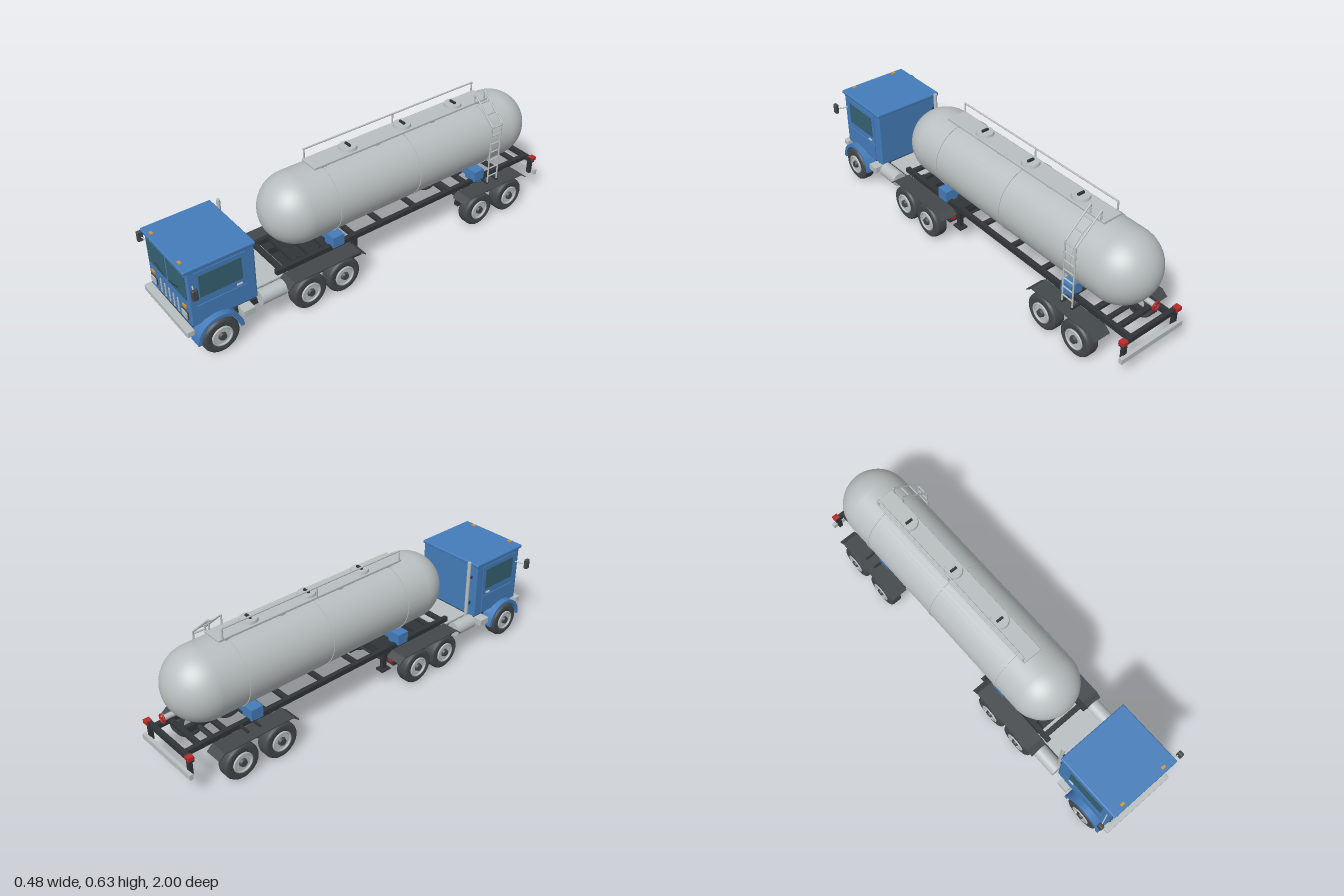
import * as THREE from 'three';
import { RoundedBoxGeometry } from 'three/addons/geometries/RoundedBoxGeometry.js';

const mat = (name, color) => {
  const m = new THREE.MeshStandardMaterial({ color });
  m.name = name;
  return m;
};

export function createModel() {
  const blue = mat('cab blue', 0x447cba), steel = mat('steel', 0xb9bfc0), frame = mat('frame dark', 0x303437);
  const rubber = mat('rubber', 0x43484b), glass = mat('glass', 0x356172), amber = mat('amber', 0xd8922a);
  const red = mat('red', 0xb82a28);
  const model = new THREE.Group();

  const add = (name, geo, m, x = 0, y = 0, z = 0, parent = model) => {
    const mesh = new THREE.Mesh(geo, m);
    mesh.name = name;
    mesh.position.set(x, y, z);
    parent.add(mesh);
    return mesh;
  };
  // Box given by its extents along each axis
  const box = (name, m, [x0, x1], [y0, y1], [z0, z1], r = 0) => {
    const s = [x1 - x0, y1 - y0, z1 - z0];
    const geo = r ? new RoundedBoxGeometry(...s, 2, r) : new THREE.BoxGeometry(...s);
    return add(name, geo, m, (x0 + x1) / 2, (y0 + y1) / 2, (z0 + z1) / 2);
  };
  // The same box on both sides of the vehicle
  const pair = (name, m, [x0, x1], y, z, r) => {
    box(name, m, [x0, x1], y, z, r);
    box(name, m, [-x1, -x0], y, z, r);
  };
  // Round bar between two points
  const bar = (name, m, a, b, r = 0.004, seg = 10) => {
    const p = new THREE.Vector3(...a), q = new THREE.Vector3(...b);
    const mesh = add(name, new THREE.CylinderGeometry(r, r, p.distanceTo(q), seg), m);
    mesh.position.copy(p).lerp(q, 0.5);
    mesh.quaternion.setFromUnitVectors(new THREE.Vector3(0, 1, 0), q.sub(p).normalize());
    return mesh;
  };

  // Tank with rounded ends and hoops
  const tankY = 0.393;
  add('tank', new THREE.CapsuleGeometry(0.165, 1.15, 20, 48), steel, 0, tankY, -0.227).rotation.x = Math.PI / 2;
  for (const z of [0.213, -0.23, -0.672])
    add('tankBand', new THREE.CylinderGeometry(0.168, 0.168, 0.01, 48), steel, 0, tankY, z).rotation.x = Math.PI / 2;

  // Walkway, its supports and the hatches
  box('walkway', steel, [-0.048, 0.048], [0.566, 0.578], [-0.73, 0.27], 0.003);
  for (const z of [0.21, -0.08, -0.4, -0.68]) pair('walkwaySupport', steel, [0.015, 0.037], [0.545, 0.567], [z - 0.012, z + 0.012]);
  for (const z of [0.06, -0.245, -0.55]) {
    add('hatch', new THREE.CylinderGeometry(0.039, 0.042, 0.012, 28), steel, 0, 0.584, z);
    box('hatchHandle', frame, [-0.017, 0.017], [0.59, 0.599], [z - 0.005, z + 0.005]);
  }

  // Handrail on one side of the walkway
  bar('handrail', steel, [-0.045, 0.624, 0.26], [-0.045, 0.624, -0.71]);
  for (const z of [0.26, -0.225, -0.71]) bar('handrailPost', steel, [-0.045, 0.57, z], [-0.045, 0.626, z]);

  // Ladder: rails follow the tank outward, then drop to the frame
  for (const z of [-0.65, -0.71]) {
    const pts = [[0.045, 0.57, z], [0.045, 0.622, z], [0.173, 0.505, z], [0.173, 0.19, z]];
    for (let i = 0; i < 3; i++) bar('ladderRail', steel, pts[i], pts[i + 1]);
    pair('ladderBracket', frame, [0.11, 0.178], [0.185, 0.193], [z - 0.005, z + 0.005]);
  }
  for (let i = 0; i < 7; i++) bar('ladderRung', steel, [0.173, 0.225 + i * 0.045, -0.65], [0.173, 0.225 + i * 0.045, -0.71], 0.0035);
  for (const t of [0.3, 0.65]) bar('ladderRung', steel, [0.045 + 0.128 * t, 0.622 - 0.117 * t, -0.65], [0.045 + 0.128 * t, 0.622 - 0.117 * t, -0.71], 0.0035);

  // Rear valve with handwheel
  bar('valvePipe', steel, [0, 0.302, -0.92], [0, 0.302, -0.985], 0.012, 18);
  add('valveWheel', new THREE.TorusGeometry(0.019, 0.004, 8, 24), red, 0, 0.302, -0.991);
  for (const a of [0, Math.PI / 2]) {
    const c = 0.019 * Math.cos(a), s = 0.019 * Math.sin(a);
    bar('valveSpoke', red, [-c, 0.302 - s, -0.991], [c, 0.302 + s, -0.991], 0.0025);
  }

  // Trailer frame, saddles and landing legs
  pair('trailerRail', frame, [0.1, 0.122], [0.174, 0.197], [-0.975, 0.53]);
  for (const z of [0.5, 0.42, 0.34, 0.26, 0.11, -0.05, -0.25, -0.45, -0.57, -0.77, -0.9])
    box('trailerCrossMember', frame, [-0.11, 0.11], [0.177, 0.192], [z - 0.012, z + 0.012]);
  for (const z of [0.213, -0.63]) {
    pair('saddle', blue, [0.07, 0.135], [0.19, 0.245], [z - 0.03, z + 0.03]);
    box('saddleBeam', blue, [-0.08, 0.08], [0.195, 0.235], [z - 0.02, z + 0.02]);
  }
  pair('landingLeg', frame, [0.1, 0.122], [0.09, 0.18], [0.1, 0.122]);
  pair('landingFoot', frame, [0.09, 0.132], [0.08, 0.09], [0.085, 0.137]);
  bar('landingBrace', frame, [-0.11, 0.13, 0.111], [0.11, 0.13, 0.111], 0.006);

  // Trailer tail
  box('tailBeam', frame, [-0.165, 0.165], [0.172, 0.196], [-0.985, -0.965]);
  pair('tailPost', frame, [0.135, 0.155], [0.105, 0.19], [-0.985, -0.968]);
  box('rearBumper', steel, [-0.176, 0.176], [0.1, 0.125], [-1, -0.983]);
  pair('tailLight', red, [0.14, 0.168], [0.183, 0.201], [-0.993, -0.965]);

  // Wheels
  const tireProfile = [[0.045, -0.031], [0.074, -0.031], [0.082, -0.026], [0.085, -0.018], [0.085, 0.018], [0.082, 0.026], [0.074, 0.031], [0.051, 0.031], [0.045, 0.022]];
  const tire = new THREE.LatheGeometry(tireProfile.map(p => new THREE.Vector2(...p)), 40);
  const rim = new THREE.CylinderGeometry(0.046, 0.046, 0.056, 32);
  const ring = new THREE.TorusGeometry(0.044, 0.005, 8, 32);
  const hub = new THREE.CylinderGeometry(0.016, 0.02, 0.014, 20);
  for (const z of [0.86, 0.42, 0.24, -0.57, -0.77]) {
    for (const s of [1, -1]) {
      const wheel = new THREE.Group();
      wheel.name = 'wheel';
      add('tire', tire, rubber, 0, 0, 0, wheel);
      add('rim', rim, steel, 0, 0, 0, wheel);
      add('rimRing', ring, steel, 0, 0.031, 0, wheel).rotation.x = Math.PI / 2;
      add('hub', hub, rubber, 0, 0.033, 0, wheel);
      wheel.position.set(s * 0.182, 0.085, z);
      wheel.rotation.z = -s * Math.PI / 2;
      model.add(wheel);
    }
    bar('axle', frame, [-0.16, 0.085, z], [0.16, 0.085, z], 0.012, 16);
    pair('spring', frame, [0.1, 0.124], [0.08, 0.108], [z - 0.06, z + 0.06]);
    if (z < 0) pair('springHanger', frame, [0.102, 0.122], [0.1, 0.18], [z - 0.02, z + 0.02]);
  }

  // Flat mudguards with turned-down ends over the twin axles
  for (const zc of [0.325, -0.677]) {
    pair('mudguard', rubber, [0.125, 0.211], [0.171, 0.176], [zc - 0.175, zc + 0.175]);
    for (const s of [1, -1]) for (const e of [1, -1])
      add('mudguardEnd', new THREE.BoxGeometry(0.086, 0.005, 0.04), rubber, s * 0.168, 0.162, zc + e * 0.188).rotation.x = e * 0.7;
  }

  // Tractor chassis, deck and fifth wheel
  box('chassisFloor', frame, [-0.15, 0.15], [0.105, 0.132], [0.14, 0.965]);
  pair('chassisRail', frame, [0.06, 0.085], [0.13, 0.165], [0.14, 0.95]);
  box('deck', steel, [-0.125, 0.125], [0.158, 0.166], [0.47, 0.66]);
  add('fifthWheel', new THREE.CylinderGeometry(0.09, 0.09, 0.014, 32), frame, 0, 0.169, 0.33);
  pair('tractorTailLight', red, [0.12, 0.145], [0.125, 0.145], [0.13, 0.142]);
  for (const s of [1, -1]) bar('fuelTank', steel, [s * 0.163, 0.145, 0.53], [s * 0.163, 0.145, 0.65], 0.035, 28);

  // Cab shell and roof
  box('cab', blue, [-0.176, 0.176], [0.165, 0.445], [0.66, 0.968], 0.008);
  box('roof', blue, [-0.181, 0.181], [0.44, 0.457], [0.655, 0.982], 0.006);
  box('frontBumper', steel, [-0.187, 0.187], [0.132, 0.162], [0.965, 1], 0.004);
  pair('doorPanel', blue, [0.176, 0.18], [0.185, 0.265], [0.71, 0.935]);
  pair('doorFrame', blue, [0.175, 0.179], [0.272, 0.43], [0.705, 0.935]);
  pair('sideWindow', glass, [0.176, 0.181], [0.302, 0.41], [0.725, 0.92]);
  pair('doorHandle', steel, [0.178, 0.186], [0.28, 0.286], [0.73, 0.755]);
  pair('cabStep', steel, [0.15, 0.2], [0.112, 0.142], [0.69, 0.745]);

  // Cab face
  pair('windshield', glass, [0.009, 0.16], [0.298, 0.415], [0.965, 0.971]);
  for (const s of [1, -1]) bar('wiper', frame, [s * 0.018, 0.307, 0.974], [s * 0.095, 0.328, 0.974], 0.002, 8);
  for (let i = -2; i <= 2; i++) box('grilleBar', steel, [i * 0.0367 - 0.0038, i * 0.0367 + 0.0038], [0.184, 0.254], [0.965, 0.972]);
  pair('headlightRim', rubber, [0.108, 0.156], [0.195, 0.232], [0.962, 0.973]);
  pair('headlight', steel, [0.111, 0.153], [0.198, 0.229], [0.97, 0.977]);
  pair('turnSignal', amber, [0.119, 0.146], [0.248, 0.26], [0.965, 0.974]);
  pair('roofMarker', amber, [0.107, 0.127], [0.455, 0.462], [0.955, 0.967]);

  // Mirrors, exhaust and front wheel arches
  const arch = new THREE.Shape();
  arch.absarc(0, 0, 0.108, 0, Math.PI, false);
  arch.absarc(0, 0, 0.093, Math.PI, 0, true);
  const archGeo = new THREE.ExtrudeGeometry(arch, { depth: 0.06, bevelEnabled: false, curveSegments: 20 });
  for (const s of [1, -1]) {
    bar('mirrorArm', steel, [s * 0.17, 0.373, 0.945], [s * 0.23, 0.373, 0.965], 0.003);
    box('mirror', rubber, [s * 0.232 - 0.009, s * 0.232 + 0.009], [0.351, 0.401], [0.953, 0.979], 0.005);
    add('wheelArch', archGeo, blue, s > 0 ? 0.15 : -0.21, 0.085, 0.86).rotation.y = Math.PI / 2;
  }
  bar('exhaust', steel, [-0.145, 0.165, 0.635], [-0.145, 0.468, 0.635], 0.009, 16);
  for (const y of [0.24, 0.38]) box('exhaustBracket', frame, [-0.15, -0.14], [y - 0.005, y + 0.005], [0.63, 0.662]);

  return model;
}
